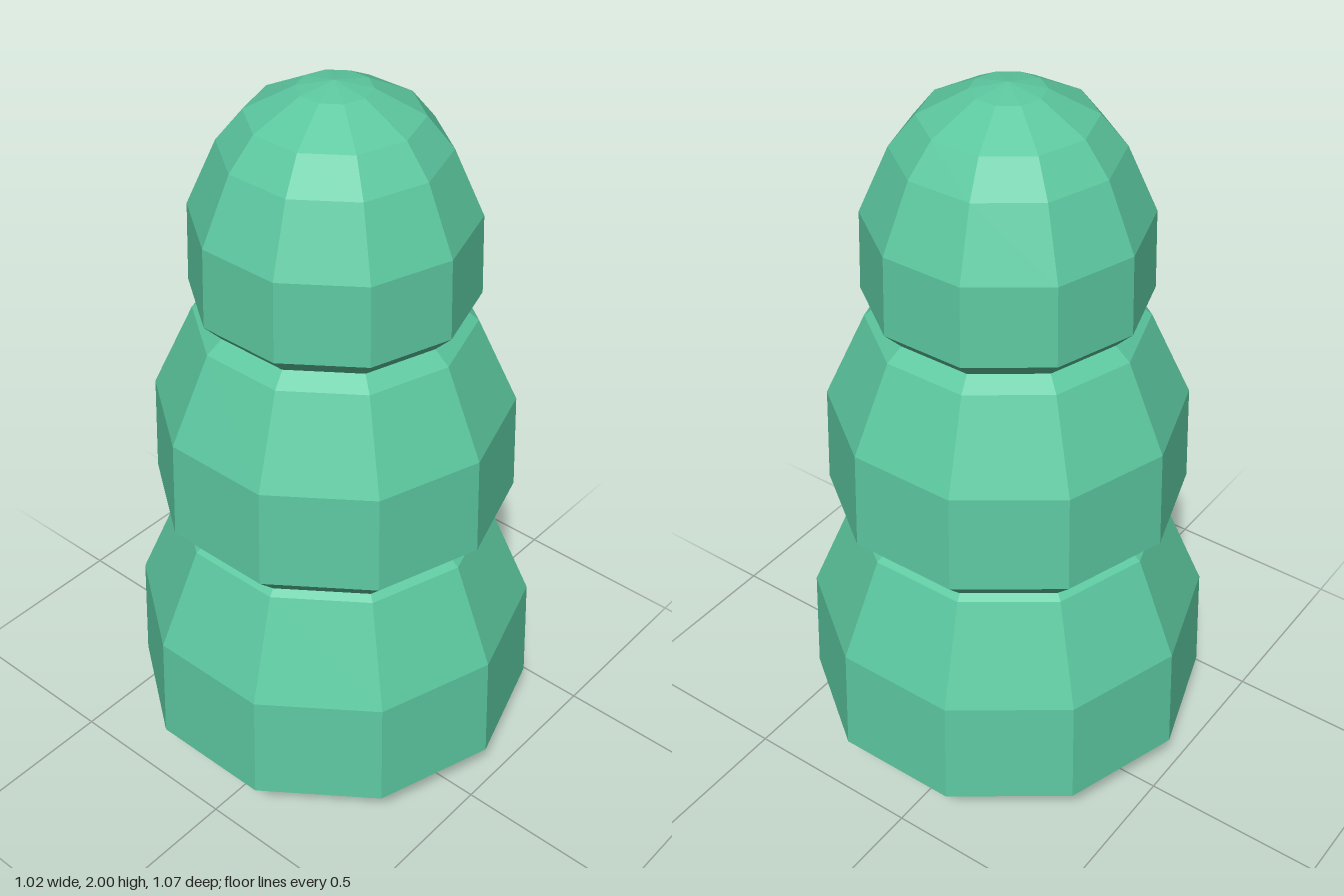
import * as THREE from 'three';

const SIDES = 10;

// Ten-sided faceted solid from [radius, height] pairs, bottom to top
function tier(name, profile, material) {
  const points = profile.map(([r, y]) => new THREE.Vector2(r, y));
  const mesh = new THREE.Mesh(new THREE.LatheGeometry(points, SIDES), material);
  mesh.name = name;
  return mesh;
}

export function createModel() {
  const green = new THREE.MeshStandardMaterial({ color: 0x5cc8a0, flatShading: true });
  green.name = 'foliage green';

  const group = new THREE.Group();
  group.name = 'tieredBush';

  // Each tier sinks a little into the one below
  group.add(
    tier('lowerTier', [
      [0, 0], [0.22, 0.015], [0.425, 0.09], [0.537, 0.21],
      [0.525, 0.52], [0.412, 0.79], [0.3, 0.87], [0, 0.9],
    ], green),
    tier('middleTier', [
      [0, 0.74], [0.37, 0.78], [0.467, 0.88],
      [0.457, 1.15], [0.352, 1.38], [0.24, 1.47], [0, 1.5],
    ], green),
    tier('topTier', [
      [0, 1.36], [0.28, 1.38], [0.357, 1.46],
      [0.35, 1.67], [0.275, 1.84], [0.21, 1.92], [0.09, 1.983], [0, 2],
    ], green),
  );
  return group;
}
